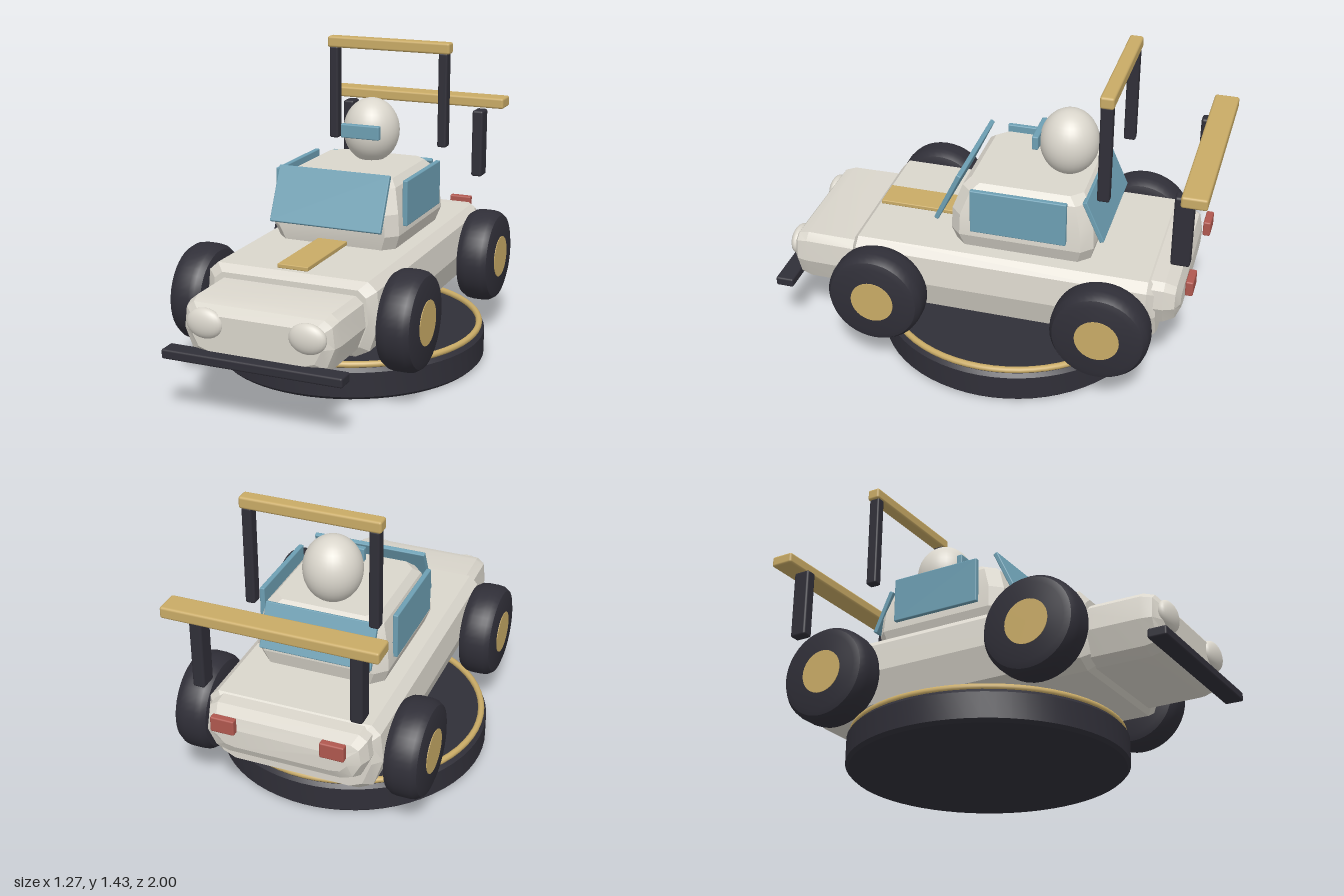
import * as THREE from 'three';
import { RoundedBoxGeometry } from 'three/addons/geometries/RoundedBoxGeometry.js';
import { toCreasedNormals } from 'three/addons/utils/BufferGeometryUtils.js';

function material(name, color) {
  const m = new THREE.MeshStandardMaterial({ color });
  m.name = name;
  return m;
}

// Closed skin through equal-sized rings, capped at both ends
function loft(rings) {
  const pos = [];
  const tri = (...pts) => pts.forEach((p) => pos.push(...p));
  const n = rings[0].length;
  for (let i = 0; i < rings.length - 1; i++) {
    for (let j = 0; j < n; j++) {
      const k = (j + 1) % n;
      const [a, b, c, d] = [rings[i][j], rings[i][k], rings[i + 1][k], rings[i + 1][j]];
      tri(a, b, c);
      tri(a, c, d);
    }
  }
  const first = rings[0], last = rings[rings.length - 1];
  for (let j = 1; j < n - 1; j++) {
    tri(first[0], first[j + 1], first[j]);
    tri(last[0], last[j], last[j + 1]);
  }
  const g = new THREE.BufferGeometry();
  g.setAttribute('position', new THREE.Float32BufferAttribute(pos, 3));
  return toCreasedNormals(g, 0.3);
}

// Faceted hull cross-section: half width and height range at one z
const HULL = [[0.73, 0], [0.89, 0.1], [1, 0.5], [0.97, 0.89], [0.87, 1]];
function hullRing([z, half, bottom, top]) {
  const right = HULL.map(([u, v]) => [u * half, bottom + v * (top - bottom), z]);
  const left = right.map(([x, y]) => [-x, y, z]).reverse();
  return [...right, ...left];
}

// Chamfered rectangle at one height, for the cabin
function cabinRing([y, hx, zBack, zFront]) {
  const c = 0.05;
  return [
    [hx - c, y, zFront], [hx, y, zFront - c], [hx, y, zBack + c], [hx - c, y, zBack],
    [c - hx, y, zBack], [-hx, y, zBack + c], [-hx, y, zFront - c], [c - hx, y, zFront],
  ];
}

export function createModel() {
  const car = new THREE.Group();
  car.name = 'buggyOnStand';
  const cream = material('creamPaint', 0xdad6cc);
  const dark = material('darkRubber', 0x302f38);
  const gold = material('goldTrim', 0xc9ab66);
  const blue = material('blueGlass', 0x6d9fb3);
  const red = material('redLamp', 0xb0584f);

  const add = (name, geometry, mat, x = 0, y = 0, z = 0) => {
    const mesh = new THREE.Mesh(geometry, mat);
    mesh.name = name;
    mesh.position.set(x, y, z);
    car.add(mesh);
    return mesh;
  };
  const bar = (name, mat, w, h, d, x, y, z) =>
    add(name, new RoundedBoxGeometry(w, h, d, 2, Math.min(w, h, d) * 0.2), mat, x, y, z);

  // Round display stand with a gold ring
  const standProfile = [[0, 0], [0.62, 0], [0.635, 0.015], [0.635, 0.13], [0.62, 0.147], [0, 0.147]];
  add('stand', toCreasedNormals(new THREE.LatheGeometry(
    standProfile.map(([r, y]) => new THREE.Vector2(r, y)), 64), 0.5), dark, 0, 0, -0.065);
  add('standRing', new THREE.TorusGeometry(0.61, 0.015, 10, 64), gold, 0, 0.159, -0.065)
    .rotation.x = Math.PI / 2;

  // Hull: main body, nose and tail (z, half width, bottom, top)
  add('body', loft([
    [-0.8, 0.37, 0.27, 0.55], [-0.76, 0.41, 0.24, 0.583],
    [0.59, 0.41, 0.24, 0.583], [0.62, 0.37, 0.27, 0.55],
  ].map(hullRing)), cream);
  add('nose', loft([
    [0.56, 0.36, 0.26, 0.525], [0.86, 0.355, 0.26, 0.525],
    [0.91, 0.345, 0.275, 0.51], [0.94, 0.3, 0.31, 0.47],
  ].map(hullRing)), cream);
  add('tail', loft([
    [-0.9, 0.3, 0.41, 0.5], [-0.88, 0.355, 0.37, 0.55],
    [-0.83, 0.375, 0.345, 0.575], [-0.7, 0.38, 0.34, 0.58],
  ].map(hullRing)), cream);

  // Cabin (y, half width, back z, front z)
  add('cabin', loft([
    [0.56, 0.28, -0.47, 0.145], [0.65, 0.312, -0.492, 0.168], [0.75, 0.305, -0.485, 0.165],
    [0.86, 0.275, -0.455, 0.125], [0.893, 0.245, -0.425, 0.09],
  ].map(cabinRing)), cream);

  // Glass panels
  bar('windshield', blue, 0.545, 0.265, 0.022, 0, 0.807, 0.184).rotation.x = -0.44;
  bar('rearWindow', blue, 0.525, 0.21, 0.022, 0, 0.783, -0.485).rotation.x = 0.42;

  // Driver's helmet and visor
  add('helmet', new THREE.SphereGeometry(0.135, 32, 20), cream, 0, 1.03, -0.31).scale.y = 1.15;
  bar('visor', blue, 0.194, 0.066, 0.03, 0, 1.045, -0.173);

  // Bonnet stripe, bumper, roll bar and rear wing
  bar('bonnetStripe', gold, 0.145, 0.02, 0.46, 0, 0.598, 0.35);
  bar('frontBumper', dark, 0.83, 0.043, 0.085, 0, 0.289, 0.957);
  bar('rollBar', gold, 0.635, 0.055, 0.063, 0, 1.407, -0.533);
  bar('rearWing', gold, 0.95, 0.053, 0.113, 0, 1.085, -0.943);

  // Tyre with rounded shoulders and a hub disc, axis along x
  const tyreProfile = [[0, -0.083], [0.175, -0.083], [0.203, -0.074], [0.219, -0.05], [0.223, -0.025],
    [0.223, 0.025], [0.219, 0.05], [0.203, 0.074], [0.175, 0.083], [0, 0.083]];
  const tyre = toCreasedNormals(new THREE.LatheGeometry(
    tyreProfile.map(([r, y]) => new THREE.Vector2(r, y)), 40), 0.6).rotateZ(-Math.PI / 2);
  const hub = new THREE.CylinderGeometry(0.1, 0.1, 0.172, 32).rotateZ(-Math.PI / 2);
  const lamp = new THREE.SphereGeometry(1, 24, 16).scale(0.085, 0.067, 0.036);

  // Paired parts
  for (const [side, s] of [['left', 1], ['right', -1]]) {
    for (const [end, z] of [['Front', 0.453], ['Rear', -0.583]]) {
      add(side + end + 'Tyre', tyre, dark, s * 0.492, 0.387, z);
      add(side + end + 'Hub', hub, gold, s * 0.492, 0.387, z);
    }
    add(side + 'Headlight', lamp, cream, s * 0.236, 0.431, 0.935);
    bar(side + 'TailLight', red, 0.11, 0.073, 0.035, s * 0.25, 0.543, -0.932);
    bar(side + 'Window', blue, 0.024, 0.212, 0.44, s * 0.316, 0.788, -0.157);
    bar(side + 'RollBarPost', dark, 0.046, 0.46, 0.055, s * 0.285, 1.155, -0.532);
    bar(side + 'WingPost', dark, 0.056, 0.34, 0.085, s * 0.354, 0.878, -0.892);
  }
  return car;
}
